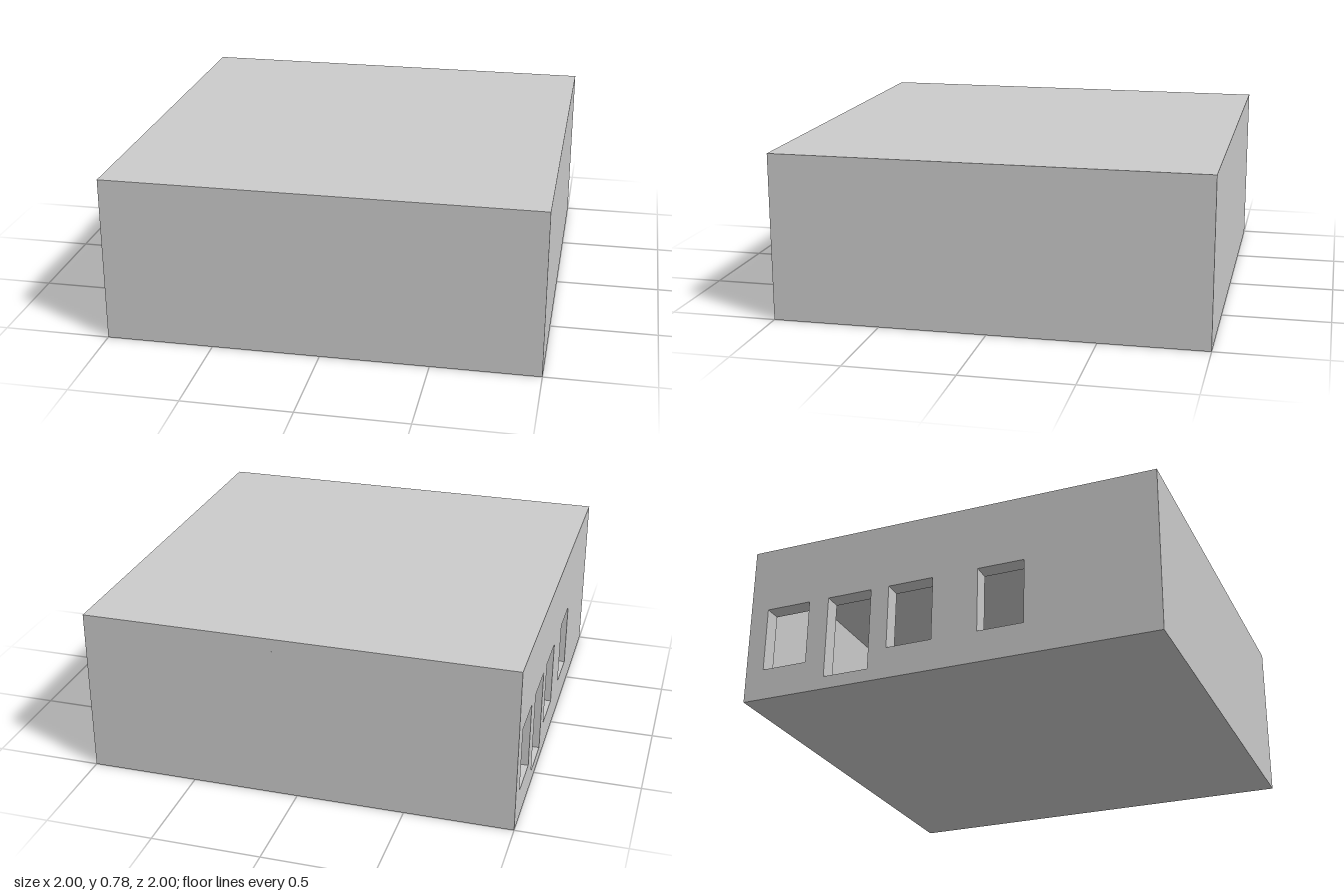
import * as THREE from 'three';

const HEIGHT = 0.78, WALL = 0.08, FLOOR = 0.06;

export function createModel() {
  const model = new THREE.Group();
  model.name = 'building';
  const material = new THREE.MeshStandardMaterial({ color: 0xcccccc, flatShading: true });

  const add = (name, geometry) => {
    const mesh = new THREE.Mesh(geometry, material);
    mesh.name = name;
    model.add(mesh);
    return mesh;
  };
  // Box given by its lower and upper corners
  const slab = (name, [x0, y0, z0], [x1, y1, z1]) =>
    add(name, new THREE.BoxGeometry(x1 - x0, y1 - y0, z1 - z0))
      .position.set((x0 + x1) / 2, (y0 + y1) / 2, (z0 + z1) / 2);

  const inner = 1 - WALL, top = HEIGHT - FLOOR;

  // Floor and flat roof
  slab('floor', [-1, 0, -1], [1, FLOOR, 1]);
  slab('roof', [-1, top, -1], [1, HEIGHT, 1]);

  // Plain outer walls and the partition that closes the main room
  slab('frontWall', [-inner, FLOOR, inner], [1, top, 1]);
  slab('backWall', [-inner, FLOOR, -1], [1, top, -inner]);
  slab('plainSideWall', [inner, FLOOR, -inner], [1, top, inner]);
  slab('partition', [-inner, FLOOR, 0.42], [inner, top, 0.42 + WALL]);

  // Side wall with three windows and a doorway: [z start, z end, sill, head]
  const openings = [
    [-0.91, -0.69, 0.15, 0.46],
    [-0.59, -0.37, FLOOR + 0.001, 0.46],
    [-0.28, -0.06, 0.15, 0.46],
    [0.16, 0.38, 0.15, 0.46],
  ];
  const rectangle = (Type, a, b, y0, y1) => {
    const path = new Type();
    path.moveTo(a, y0).lineTo(b, y0).lineTo(b, y1).lineTo(a, y1).closePath();
    return path;
  };
  const outline = rectangle(THREE.Shape, -1, 1, FLOOR, top);
  for (const [a, b, sill, head] of openings) {
    outline.holes.push(rectangle(THREE.Path, a, b, sill, head));
  }
  const wall = new THREE.ExtrudeGeometry(outline, { depth: WALL, bevelEnabled: false });
  wall.rotateY(-Math.PI / 2); // shape x becomes z, depth runs towards -x
  wall.translate(-inner, 0, 0);
  add('openingsWall', wall);

  return model;
}
